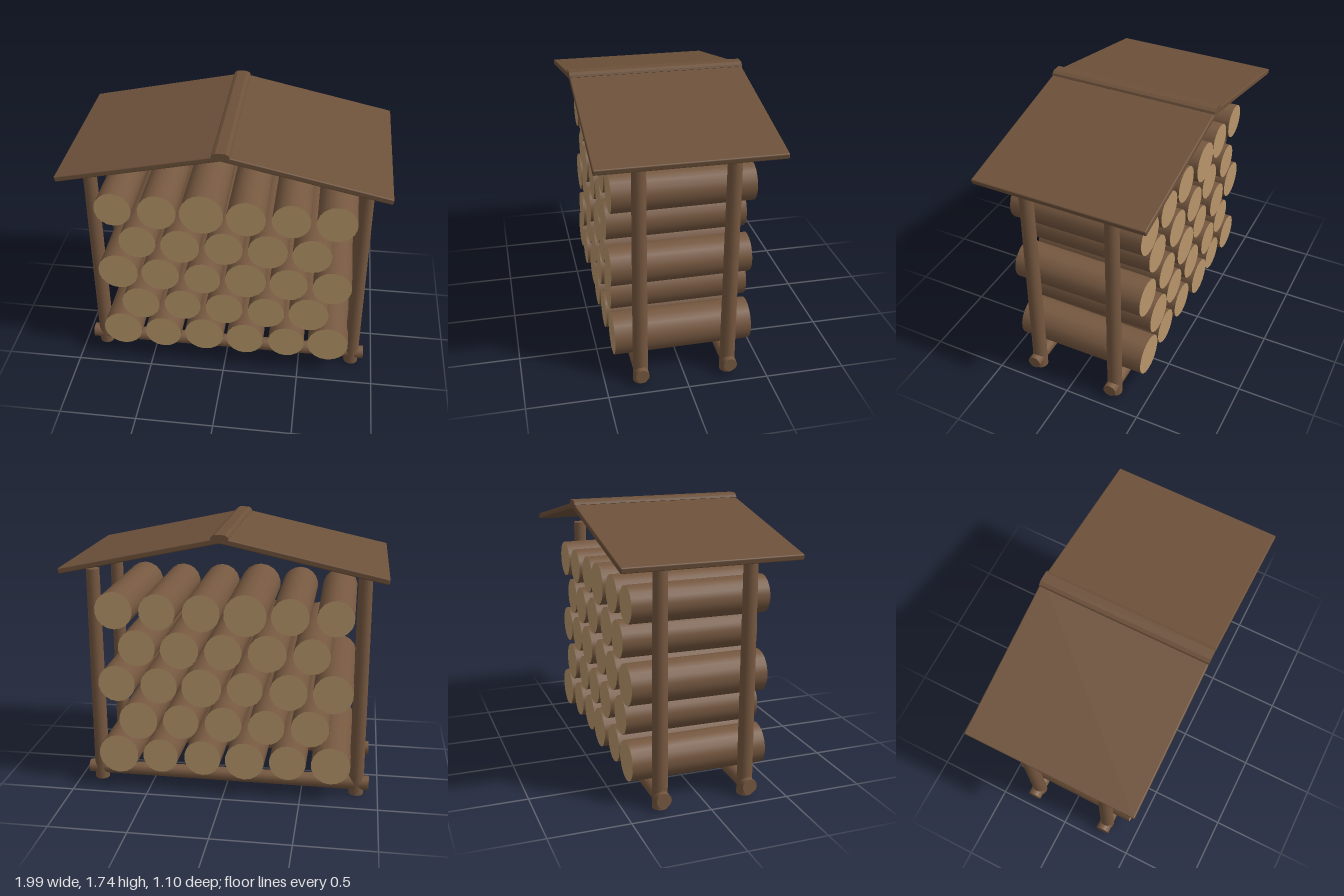
import * as THREE from 'three';
import { RoundedBoxGeometry } from 'three/addons/geometries/RoundedBoxGeometry.js';

const material = (name, color) => {
  const m = new THREE.MeshStandardMaterial({ color });
  m.name = name;
  return m;
};

export function createModel() {
  const group = new THREE.Group();
  group.name = 'firewoodShelter';
  const bark = material('bark brown', 0x765840);
  const cutWood = material('cut wood tan', 0xb8966a);
  const roofWood = material('roof brown', 0x6d513a);

  const add = (name, geometry, mat, x = 0, y = 0, z = 0) => {
    const mesh = new THREE.Mesh(geometry, mat);
    mesh.name = name;
    mesh.position.set(x, y, z);
    group.add(mesh);
    return mesh;
  };

  // Round posts and the two long rails they cross
  for (const z of [0.278, -0.278]) {
    for (const x of [0.86, -0.86]) {
      add('post', new THREE.CylinderGeometry(0.043, 0.048, 1.455, 16), bark, x, 0.7275, z);
    }
    const rail = new THREE.CylinderGeometry(0.043, 0.047, 1.88, 16).rotateZ(-Math.PI / 2);
    add('bottomRail', rail, bark, 0, 0.075, z);
  }

  // Stacked logs: radii for each row, from right to left of the model
  const rows = [
    [0.130, 0.122, 0.131, 0.124, 0.120, 0.135],
    [0.126, 0.121, 0.123, 0.121, 0.131],
    [0.131, 0.124, 0.118, 0.133, 0.123, 0.125],
    [0.120, 0.125, 0.122, 0.126, 0.124],
    [0.118, 0.122, 0.138, 0.123, 0.120, 0.125],
  ];
  rows.forEach((radii, row) => {
    radii.forEach((r, i) => {
      const x = (i - (radii.length - 1) / 2) * 0.277;
      const shift = 0.008 * Math.sin(i * 2.3 + row * 1.7);
      const log = new THREE.CylinderGeometry(r, r * 0.97, 0.865, 18).rotateX(Math.PI / 2);
      add('log', log, [bark, cutWood, cutWood], x, 0.25 + row * 0.2435, shift);
    });
  });

  // Two sloping roof panels meeting at the ridge
  const slope = 0.213, length = 1.02, thickness = 0.036;
  for (const side of [1, -1]) {
    const panel = new RoundedBoxGeometry(length, thickness, 1.1, 2, 0.008);
    const roof = add('roofPanel', panel, roofWood, side * 0.496, 1.599, 0);
    roof.rotation.z = -side * slope;
  }

  // Bevelled ridge cap
  const profile = new THREE.Shape([
    [-0.04, 1.69], [0.04, 1.69], [0.055, 1.715], [0.05, 1.728],
    [0.03, 1.74], [-0.03, 1.74], [-0.05, 1.728], [-0.055, 1.715],
  ].map(([x, y]) => new THREE.Vector2(x, y)));
  const cap = new THREE.ExtrudeGeometry(profile, { depth: 1.1, bevelEnabled: false });
  add('ridgeCap', cap, roofWood, 0, 0, -0.55);

  return group;
}
